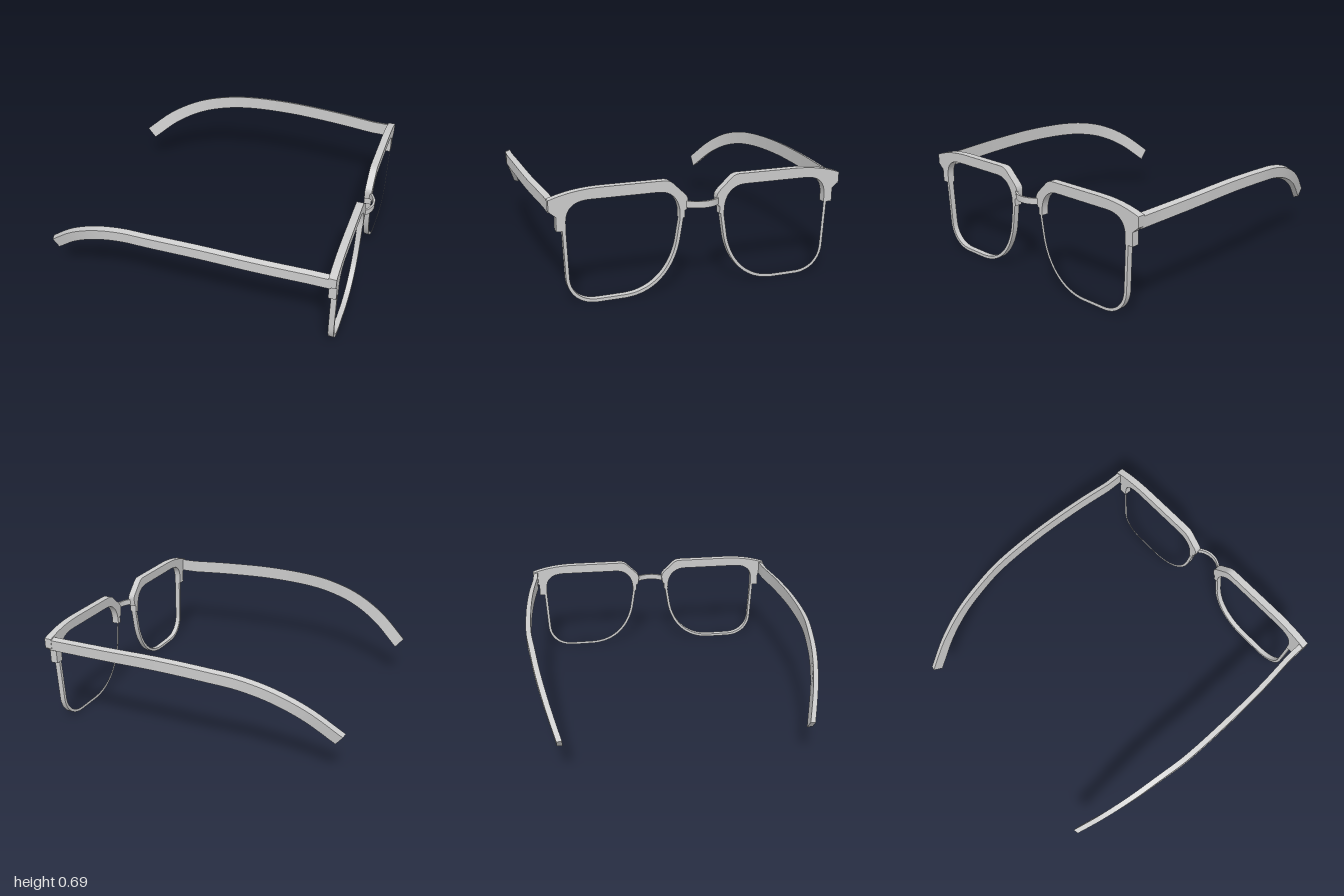
import * as THREE from 'three';
import { toCreasedNormals } from 'three/addons/utils/BufferGeometryUtils.js';

const material = new THREE.MeshStandardMaterial({ color: 0xcccccc });

function addMesh(parent, name, geometry, crease = 0.5) {
  const mesh = new THREE.Mesh(toCreasedNormals(geometry, crease), material);
  mesh.name = name;
  parent.add(mesh);
}

// Upper edge of the lens opening, from the nose side to the temple side
function traceTop(path, s, d) {
  path.bezierCurveTo(s * (0.135 - d), 0.55, s * (0.18 - d), 0.625 + d, s * 0.277, 0.625 + d);
  path.lineTo(s * 0.68, 0.625 + d);
  path.bezierCurveTo(s * (0.76 + d), 0.625 + d, s * (0.825 + d), 0.6, s * (0.825 + d), 0.5);
}

// Closed lens outline, grown outwards by d
function lensOutline(path, s, d) {
  path.moveTo(s * (0.142 - d), 0.455);
  traceTop(path, s, d);
  path.lineTo(s * (0.811 + d), 0.18);
  path.bezierCurveTo(s * (0.81 + d), 0.08, s * (0.74 + d), 0.022 - d, s * 0.645, 0.022 - d);
  path.lineTo(s * 0.49, 0.022 - d);
  path.bezierCurveTo(s * (0.315 - d), 0.022 - d, s * (0.2 - d), 0.14, s * (0.165 - d), 0.31);
  path.closePath();
  return path;
}

// Extrudes a front-plane shape along x
function frontPlate(shape, x0, x1) {
  const g = new THREE.ExtrudeGeometry(shape, { depth: x1 - x0, bevelEnabled: false, curveSegments: 20 });
  return g.rotateY(Math.PI / 2).translate(x0, 0, 0);
}

function rimGeometry(s) {
  const shape = lensOutline(new THREE.Shape(), s, 0.022);
  shape.holes.push(lensOutline(new THREE.Path(), s, 0.002));
  return frontPlate(shape, 0.922, 0.958);
}

function browGeometry(s) {
  const shape = new THREE.Shape();
  shape.moveTo(s * 0.142, 0.455);
  traceTop(shape, s, 0);
  shape.lineTo(s * 0.825, 0.455);
  shape.lineTo(s * 0.88, 0.455);
  shape.lineTo(s * 0.88, 0.54);
  shape.lineTo(s * 0.922, 0.575);
  shape.lineTo(s * 0.922, 0.64);
  shape.bezierCurveTo(s * 0.83, 0.672, s * 0.73, 0.69, s * 0.6, 0.69);
  shape.lineTo(s * 0.24, 0.69);
  shape.bezierCurveTo(s * 0.205, 0.69, s * 0.19, 0.675, s * 0.17, 0.655);
  shape.lineTo(s * 0.112, 0.6);
  shape.bezierCurveTo(s * 0.1, 0.585, s * 0.092, 0.58, s * 0.092, 0.555);
  shape.lineTo(s * 0.1, 0.505);
  shape.lineTo(s * 0.112, 0.5);
  shape.lineTo(s * 0.112, 0.455);
  shape.closePath();
  return frontPlate(shape, 0.912, 0.96);
}

// Curved arm with a bevelled section: taller inside, lower outside
function templeGeometry(s) {
  const curve = new THREE.CatmullRomCurve3([
    [0.8, 0.597, 0.904], [0.5, 0.61, 0.928], [0.13, 0.619, 0.939], [-0.2, 0.606, 0.932],
    [-0.385, 0.583, 0.909], [-0.58, 0.528, 0.879], [-0.775, 0.427, 0.832], [-0.968, 0.272, 0.766],
  ].map((p) => new THREE.Vector3(...p)));
  const steps = 48;
  const rings = [[new THREE.Vector3(0.93, 0.597, 0.903), new THREE.Vector3(-1, 0, 0)]];
  for (let i = 0; i <= steps; i++) rings.push([curve.getPointAt(i / steps), curve.getTangentAt(i / steps)]);

  const section = [[0.017, 0.034], [-0.017, 0.046], [-0.017, -0.046], [0.017, -0.034]];
  const positions = [], index = [];
  for (const [p, t] of rings) {
    const len = Math.hypot(t.x, t.y);
    for (const [w, h] of section) {
      positions.push(p.x + (h * t.y) / len, p.y - (h * t.x) / len, s * (p.z + w));
    }
  }
  const quad = (a, b, c, d) => (s > 0 ? index.push(a, b, c, a, c, d) : index.push(a, c, b, a, d, c));
  for (let i = 0; i < rings.length - 1; i++) {
    for (let j = 0; j < 4; j++) {
      const a = i * 4 + j, b = i * 4 + ((j + 1) % 4);
      quad(a, b, b + 4, a + 4);
    }
  }
  const e = (rings.length - 1) * 4;
  quad(3, 2, 1, 0);
  quad(e, e + 1, e + 2, e + 3);
  const g = new THREE.BufferGeometry();
  g.setAttribute('position', new THREE.Float32BufferAttribute(positions, 3));
  g.setIndex(index);
  return g;
}

// Thin strip bowed forwards over the nose
function bridgeGeometry() {
  const shape = new THREE.Shape();
  const a = 0.78;
  shape.absarc(0.85, 0, 0.15, -a, a, false);
  shape.absarc(0.85, 0, 0.136, a, -a, true);
  shape.closePath();
  const g = new THREE.ExtrudeGeometry(shape, { depth: 0.04, bevelEnabled: false, curveSegments: 20 });
  return g.rotateX(-Math.PI / 2).translate(0, 0.515, 0);
}

export function createModel() {
  const model = new THREE.Group();
  model.name = 'eyeglasses';
  for (const s of [1, -1]) {
    const side = new THREE.Group();
    side.name = s > 0 ? 'positiveZSide' : 'negativeZSide';
    // Extruded shapes turn onto the z axis with the opposite sign
    addMesh(side, 'lensRim', rimGeometry(-s));
    addMesh(side, 'browBar', browGeometry(-s));
    addMesh(side, 'templeArm', templeGeometry(s), 0.3);
    model.add(side);
  }
  addMesh(model, 'noseBridge', bridgeGeometry());
  return model;
}
